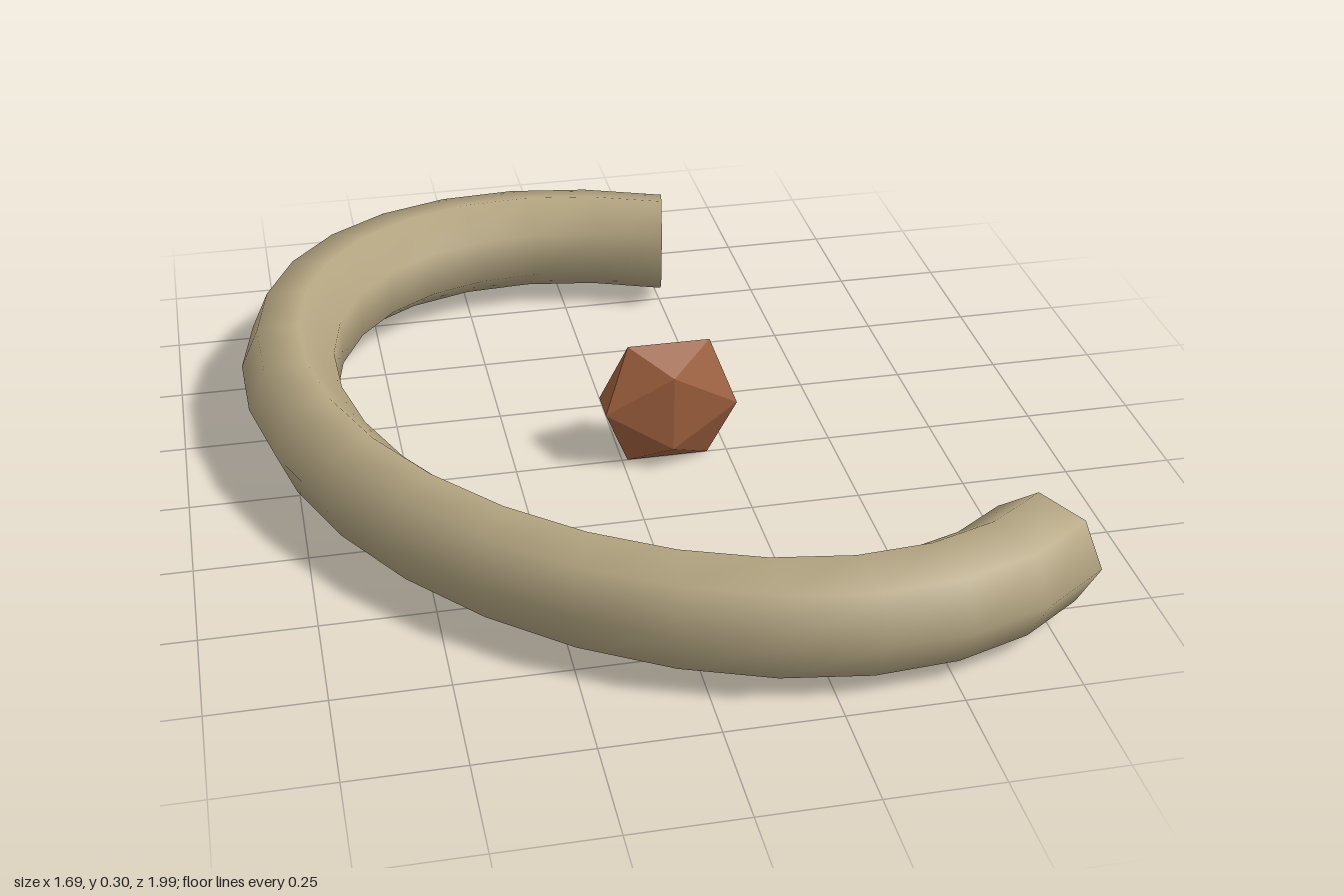
import * as THREE from 'three';

const CENTRE = [0.108, 0.153, 0];

export function createModel() {
  const model = new THREE.Group();

  // Open ring: seven-sided hollow tube over 240 degrees, stretched into a slanted ellipse
  const ringGeometry = new THREE.TorusGeometry(0.882, 0.118, 7, 20, Math.PI * 4 / 3)
    .scale(1.105, 0.831, 1.1)
    .rotateX(Math.PI / 2)
    .rotateY(-0.848);
  const ring = new THREE.Mesh(
    ringGeometry,
    new THREE.MeshStandardMaterial({ color: 0xb5a682, side: THREE.DoubleSide })
  );
  ring.name = 'openRing';
  ring.position.set(...CENTRE);

  // Faceted stone: icosahedron flattened front to back
  const stone = new THREE.Mesh(
    new THREE.IcosahedronGeometry(1, 0).scale(0.181, 0.179, 0.077),
    new THREE.MeshStandardMaterial({ color: 0xa0623f, flatShading: true })
  );
  stone.name = 'centreStone';
  stone.position.set(...CENTRE);

  model.add(ring, stone);
  return model;
}
